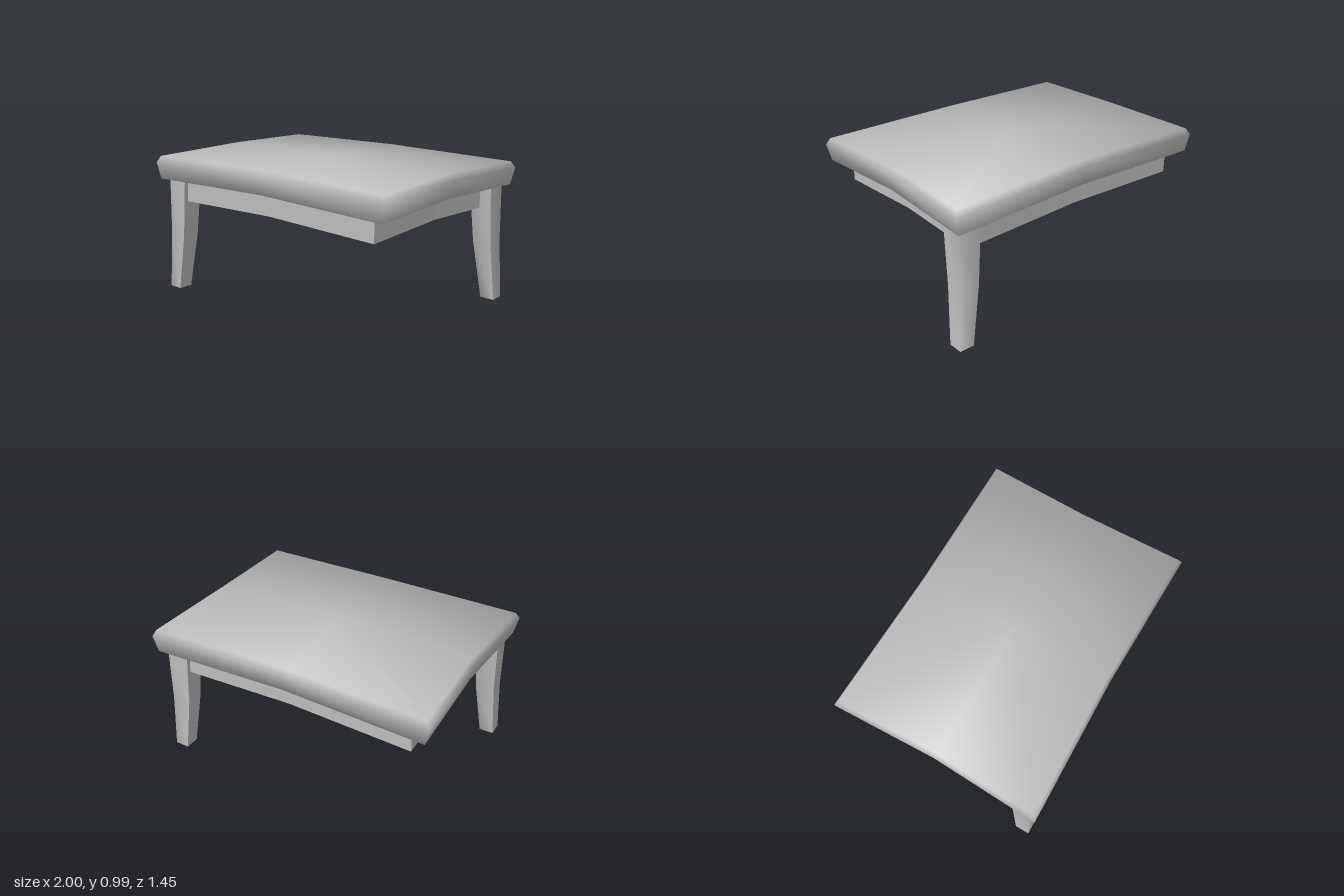
import * as THREE from 'three';

const grey = new THREE.MeshStandardMaterial({ color: 0xbcbcbc, side: THREE.DoubleSide });
grey.name = 'plain grey';

// Corner and edge-middle signs, anticlockwise from above (closed loop)
const LOOP = [[-1, 1], [0, 1], [1, 1], [1, 0], [1, -1], [0, -1], [-1, -1], [-1, 0], [-1, 1]];

// Skin a grid of points: rows run upward, columns anticlockwise
function patch(rows) {
  const cols = rows[0].length, index = [];
  for (let r = 0; r < rows.length - 1; r++) {
    for (let c = 0; c < cols - 1; c++) {
      const a = r * cols + c, b = a + 1, d = a + cols, e = d + 1;
      index.push(a, b, d, b, e, d);
    }
  }
  const g = new THREE.BufferGeometry();
  g.setAttribute('position', new THREE.Float32BufferAttribute(rows.flat(2), 3));
  g.setIndex(index);
  g.computeVertexNormals();
  return g;
}

function mesh(name, geometry) {
  const m = new THREE.Mesh(geometry, grey);
  m.name = name;
  return m;
}

// Rectangle whose edge middles bow inward and lift upward
const ring = (x, z, y, inX = 0.026, inZ = 0.021) => LOOP.map(([sx, sz]) => [
  sx * (sz ? x : x - inX), y + (sx && sz ? 0 : 0.018), sz * (sx ? z : z - inZ)]);
const centre = (y) => LOOP.map(() => [0, y, 0]);

// Padded seat with softly rolled edges
function cushion() {
  const g = patch([centre(0.833), ring(0.975, 0.712, 0.797), ring(1, 0.725, 0.912),
    ring(0.977, 0.703, 0.956), centre(0.99)]);
  // [outward, upward] lean of the normals for each row
  const lean = [[0, -1], [1, -0.8], [1, 0.12], [0.66, 1], [0, 1]];
  const normals = lean.flatMap(([out, up]) => LOOP.flatMap(([sx, sz]) =>
    new THREE.Vector3(sx * out, up, sz * out).normalize().toArray()));
  g.setAttribute('normal', new THREE.Float32BufferAttribute(normals, 3));
  return mesh('seatCushion', g);
}

// Crisp-edged frame below the cushion
function apron() {
  const g = patch([centre(0.68), ring(0.86, 0.635, 0.646, 0.015, 0.015),
    ring(0.86, 0.635, 0.81, 0.015, 0.015)]).toNonIndexed();
  g.computeVertexNormals();
  return mesh('apron', g);
}

// Tapered, splayed leg: softened outer corner, sharp side corners
function leg(name) {
  const levels = [ // y, x outer, x inner, z outer, z inner
    [0, -0.967, -0.866, 0.68, 0.58],
    [0.4, -0.943, -0.808, 0.668, 0.545],
    [0.81, -0.94, -0.78, 0.66, 0.515],
  ];
  const corners = levels.map(([y, xo, xi, zo, zi]) => ({
    outer: [xo, y, zo], front: [xi, y, zo], inner: [xi, y, zi], side: [xo, y, zi] }));
  const strip = (...keys) => patch(corners.map((c) => keys.map((k) => c[k])));
  const f = corners[0];
  const group = new THREE.Group();
  group.name = name;
  group.add(
    mesh('legOuterFaces', strip('side', 'outer', 'front')),
    mesh('legInnerFaces', strip('front', 'inner', 'side')),
    mesh('legFoot', patch([[f.side, f.inner], [f.outer, f.front]])));
  return group;
}

export function createModel() {
  const model = new THREE.Group();
  model.name = 'footstool';
  const backLeg = leg('backLeftLeg');
  backLeg.rotation.y = Math.PI; // diagonally opposite corner
  model.add(cushion(), apron(), leg('frontRightLeg'), backLeg);
  return model;
}
